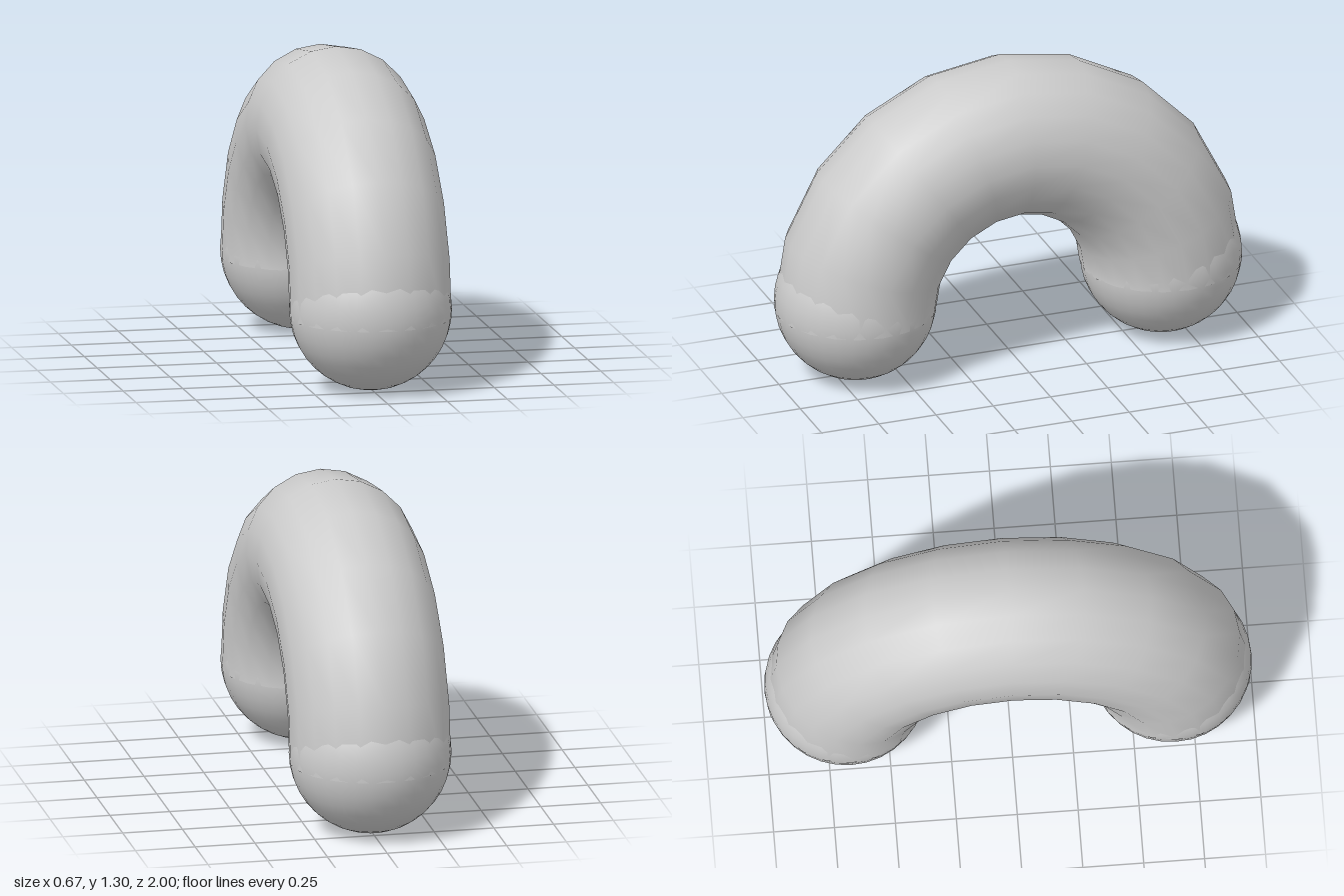
import * as THREE from 'three';

export function createModel() {
  const model = new THREE.Group();
  const material = new THREE.MeshStandardMaterial({ color: 0xcccccc, side: THREE.DoubleSide });
  const bend = 2 / 3;
  const tube = 1 / 3;

  // Half-ring arch running front to back
  const arch = new THREE.Mesh(
    new THREE.TorusGeometry(bend, tube, 20, 10, Math.PI).rotateY(Math.PI / 2),
    material
  );
  arch.name = 'arch';
  arch.position.y = 0.3;
  model.add(arch);

  // Rounded feet closing both ends of the arch
  const ball = new THREE.SphereGeometry(tube, 32, 20);
  for (const [name, side] of [['frontFoot', 1], ['backFoot', -1]]) {
    const foot = new THREE.Mesh(ball, material);
    foot.name = name;
    foot.position.set(0, tube, side * bend);
    model.add(foot);
  }
  return model;
}
